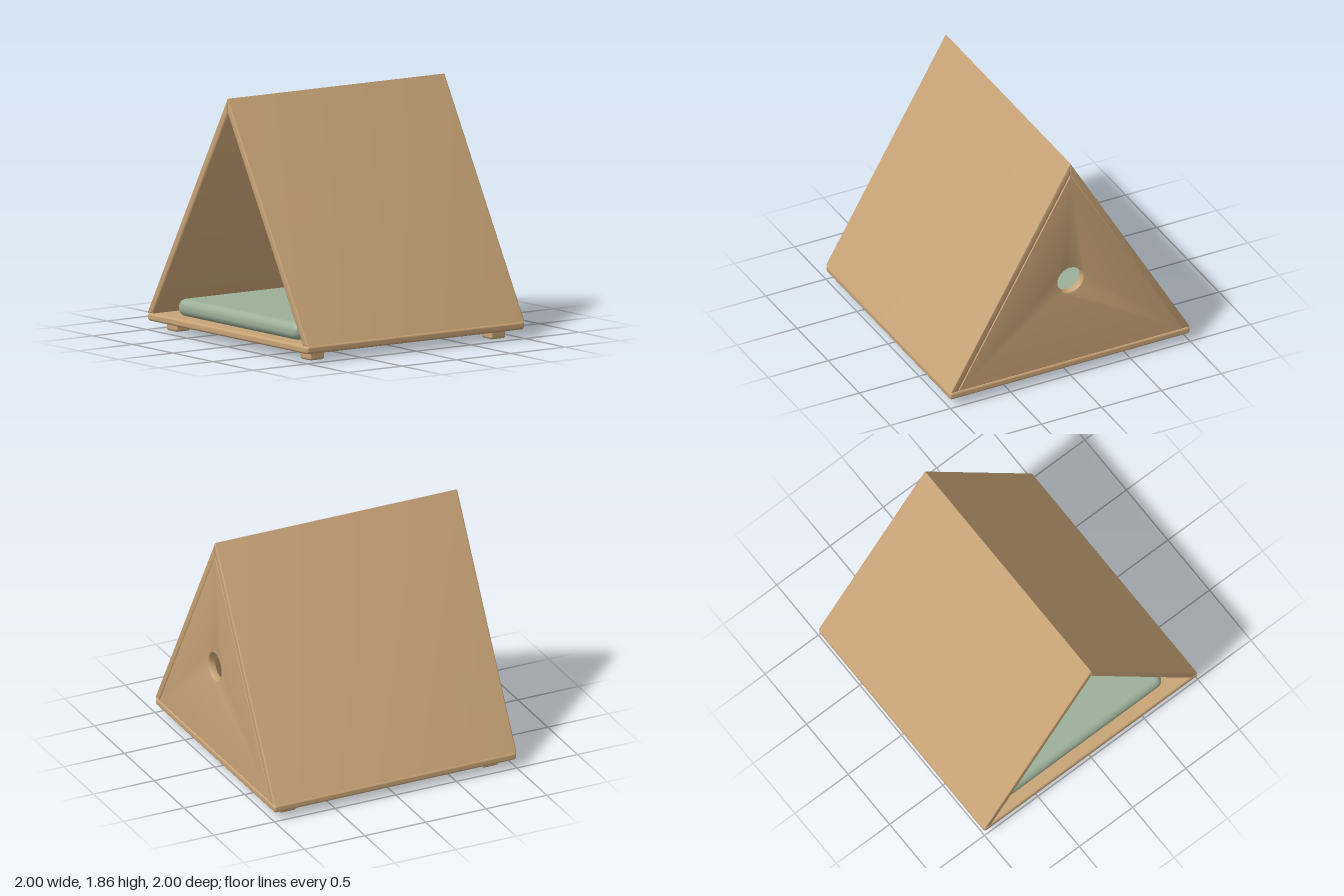
import * as THREE from 'three';
import { toCreasedNormals } from 'three/addons/utils/BufferGeometryUtils.js';
import { RoundedBoxGeometry } from 'three/addons/geometries/RoundedBoxGeometry.js';

const BASE_TOP = 0.13, APEX = 1.86, INNER_APEX = 1.75, INNER_X = 0.935;
const BEVEL = 0.012;

// Board with softened edges, filling the outline exactly from z0 to z1
function board(points, z0, z1, hole) {
  const shape = new THREE.Shape(points.map(([x, y]) => new THREE.Vector2(x, y)));
  if (hole) shape.holes.push(hole);
  const geometry = new THREE.ExtrudeGeometry(shape, {
    depth: z1 - z0 - 2 * BEVEL,
    bevelSize: BEVEL,
    bevelThickness: BEVEL,
    bevelOffset: -BEVEL,
    bevelSegments: 3,
    curveSegments: 32,
  });
  geometry.translate(0, 0, z0 + BEVEL);
  return toCreasedNormals(geometry, 0.7);
}

export function createModel() {
  const wood = new THREE.MeshStandardMaterial({ color: 0xc8a376 });
  wood.name = 'wood';
  const fabric = new THREE.MeshStandardMaterial({ color: 0x9caf98 });
  fabric.name = 'sageFabric';

  const model = new THREE.Group();
  model.name = 'tentShelter';
  const add = (name, geometry, material, x = 0, y = 0, z = 0) => {
    const mesh = new THREE.Mesh(geometry, material);
    mesh.name = name;
    mesh.position.set(x, y, z);
    model.add(mesh);
  };

  // Floor board
  add('floor', new RoundedBoxGeometry(2, 0.06, 2, 4, 0.02), wood, 0, 0.1, 0);

  // Sloping roof boards meeting in a mitre, and feet under each corner
  const footGeometry = new RoundedBoxGeometry(0.134, 0.07, 0.134, 4, 0.018);
  for (const [side, label] of [[1, 'left'], [-1, 'right']]) {
    add(label + 'RoofPanel', board([
      [side, BASE_TOP], [0, APEX], [0, INNER_APEX], [side * INNER_X, BASE_TOP],
    ], -1, 1), wood);
    for (const [end, place] of [[1, 'Front'], [-1, 'Back']]) {
      add(label + place + 'Foot', footGeometry, wood, side * 0.833, 0.037, end * 0.833);
    }
  }

  // Back wall with a round window
  const hole = new THREE.Path().absarc(0, 0.836, 0.104, 0, Math.PI * 2, true);
  add('backWall', board([
    [-INNER_X, BASE_TOP], [INNER_X, BASE_TOP], [0, INNER_APEX],
  ], -1, -0.94, hole), wood);

  // Cushion
  add('cushion', new RoundedBoxGeometry(1.5, 0.13, 1.78, 8, 0.06), fabric, 0, 0.195, 0.03);

  return model;
}
